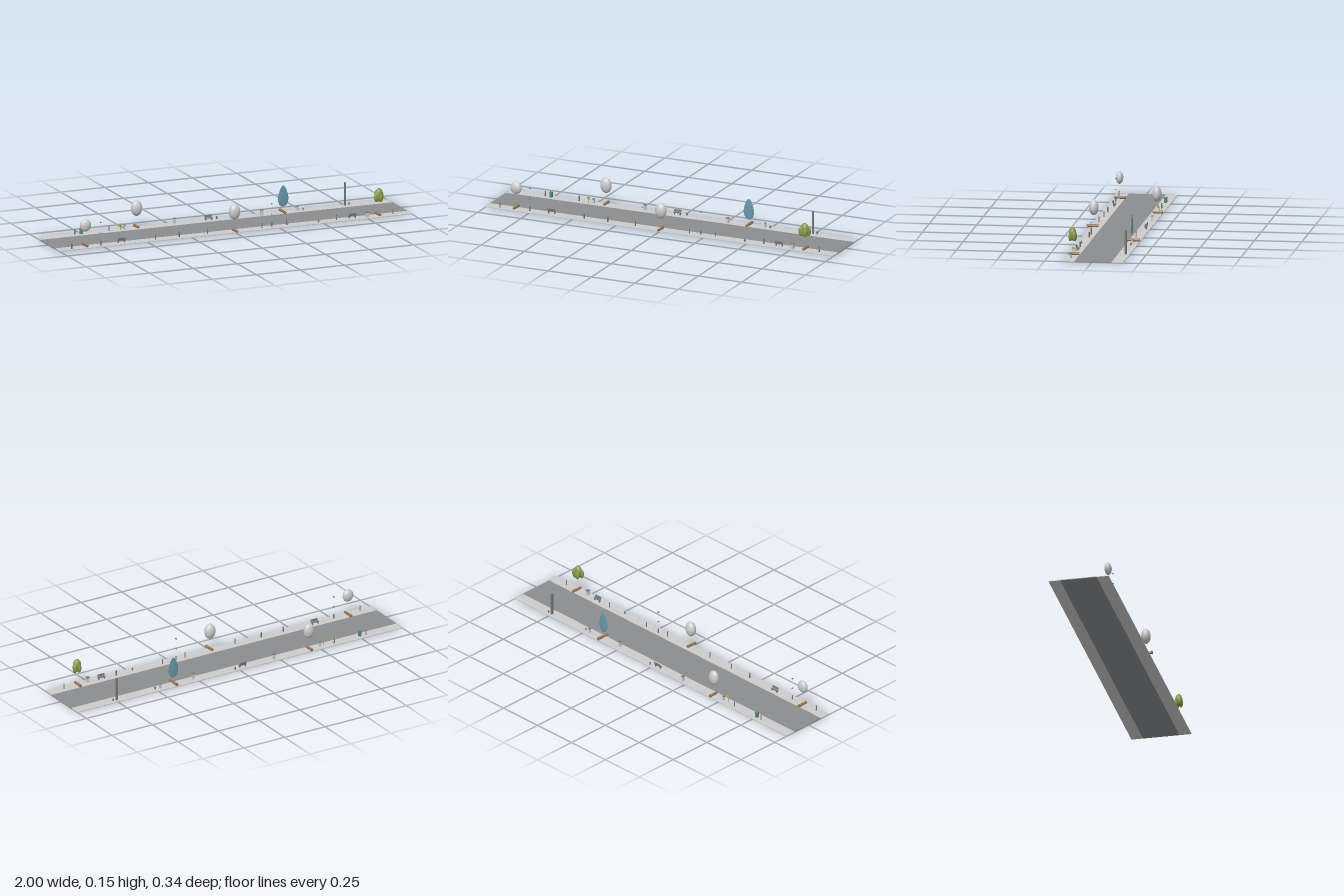
import * as THREE from 'three';

const mat = (color) => new THREE.MeshStandardMaterial({ color });
const GREY = mat(0xcccccc), ROAD = mat(0x8b8d8f), WOOD = mat(0x9a7850), GREEN = mat(0x8a9a45);
const TEAL = mat(0x6798a8), DARK = mat(0x77797c), YELLOW = mat(0xc8b040), BIN = mat(0x4f9080);

export function createModel() {
  const root = new THREE.Group();
  root.name = 'street';

  const add = (name, geo, material, x, y, z, parent = root) => {
    const m = new THREE.Mesh(geo, material);
    m.name = name;
    m.position.set(x, y, z);
    parent.add(m);
    return m;
  };
  const box = (name, w, h, d, material, x, y, z, parent) =>
    add(name, new THREE.BoxGeometry(w, h, d), material, x, y, z, parent);
  const group = (name, x, z) => {
    const g = new THREE.Group();
    g.name = name;
    g.position.set(x, 0, z);
    root.add(g);
    return g;
  };

  // Flat road between two sidewalks
  box('road', 2, 0.004, 0.195, ROAD, 0, 0.002, -0.0065);
  box('frontSidewalk', 2, 0.004, 0.064, GREY, 0, 0.002, 0.123);
  box('backSidewalk', 2, 0.004, 0.062, GREY, 0, 0.002, -0.135);

  // Trunks lying across the sidewalk: x, nearest z, farthest z
  for (const [x, z0, z1] of [
    [-0.84, 0.085, 0.145], [0, 0.11, 0.17], [0.823, 0.09, 0.147],
    [-0.44, -0.168, -0.115], [0.387, -0.165, -0.093],
  ]) {
    const trunk = add('trunk', new THREE.CylinderGeometry(0.0065, 0.008, z1 - z0, 12), WOOD, x, 0.012, (z0 + z1) / 2);
    trunk.rotation.x = Math.PI / 2;
  }

  // Egg-shaped crowns floating above the trunks
  const ball = new THREE.SphereGeometry(1, 24, 16);
  const crown = (material, x, y, z, rx, ry, rz) =>
    add('crown', ball, material, x, y, z).scale.set(rx, ry, rz);
  crown(GREY, -0.84, 0.118, 0.117, 0.031, 0.034, 0.019);
  crown(GREY, 0, 0.11, 0.133, 0.031, 0.042, 0.025);
  crown(GREY, -0.44, 0.111, -0.137, 0.031, 0.042, 0.023);

  // Green crown made of overlapping lobes
  crown(GREEN, 0.823, 0.117, 0.126, 0.023, 0.035, 0.019);
  for (const s of [-1, 1]) {
    crown(GREEN, 0.823 + s * 0.016, 0.106, 0.126 - s * 0.01, 0.015, 0.026, 0.01);
    crown(GREEN, 0.823 + s * 0.006, 0.103, 0.126 + s * 0.011, 0.013, 0.025, 0.011);
  }

  // Flattened teardrop tree
  const drop = [[0, 0.038], [0.013, 0.042], [0.025, 0.056], [0.031, 0.08], [0.027, 0.105],
    [0.018, 0.13], [0.01, 0.146], [0, 0.152]].map(([r, y]) => new THREE.Vector2(r, y));
  add('teardropCrown', new THREE.LatheGeometry(drop, 20), TEAL, 0.387, 0, -0.124).scale.z = 0.11;

  // Tall pole
  box('pole', 0.008, 0.124, 0.011, DARK, 0.747, 0.065, -0.143);

  // Bollards with caps
  const postGeo = new THREE.CylinderGeometry(0.0028, 0.0032, 0.026, 10);
  const capGeo = new THREE.SphereGeometry(0.0035, 10, 6);
  for (const [x, z] of [
    [-0.925, 0.133], [-0.445, 0.123], [-0.31, 0.123], [-0.15, 0.126], [0.16, 0.123],
    [0.305, 0.113], [0.585, 0.12], [0.905, 0.123],
    [-0.79, -0.14], [-0.595, -0.14],
  ]) {
    const g = group('bollard', x, z);
    add('post', postGeo, DARK, 0, 0.017, 0, g);
    add('cap', capGeo, DARK, 0, 0.03, 0, g);
  }

  // Benches: seat, backrest and two legs; s turns the back away from the road
  for (const [x, z, s] of [[-0.635, 0.115, 1], [0.675, 0.12, 1], [-0.03, -0.138, -1]]) {
    const g = group('bench', x, z);
    box('seat', 0.042, 0.003, 0.013, DARK, 0, 0.016, 0, g);
    const back = box('backrest', 0.042, 0.012, 0.002, DARK, 0, 0.025, s * 0.007, g);
    back.rotation.x = s * 0.15;
    for (const side of [-1, 1]) box('leg', 0.003, 0.013, 0.011, DARK, side * 0.017, 0.01, 0, g);
  }

  // Cabinets with an overhanging lid
  for (const [x, z, w, h, m] of [
    [-0.755, -0.136, 0.014, 0.026, BIN], [-0.22, -0.145, 0.012, 0.026, GREY],
    [0.265, -0.125, 0.014, 0.026, GREY], [0.755, 0.13, 0.015, 0.024, GREY],
    [-0.51, -0.135, 0.01, 0.022, GREY], [0.475, -0.138, 0.009, 0.022, GREY],
  ]) {
    const g = group('cabinet', x, z);
    box('body', w, h, w, m, 0, 0.004 + h / 2, 0, g);
    box('lid', w + 0.002, 0.003, w + 0.002, DARK, 0, 0.0055 + h, 0, g);
  }

  // Small hydrants: barrel, dome and side nozzles
  for (const [x, z, m] of [[0.505, -0.135, WOOD], [0.02, -0.147, DARK], [0.77, -0.145, DARK], [0.48, 0.128, DARK]]) {
    const g = group('hydrant', x, z);
    add('barrel', new THREE.CylinderGeometry(0.003, 0.0035, 0.012, 10), m, 0, 0.01, 0, g);
    add('dome', new THREE.SphereGeometry(0.0035, 10, 6), m, 0, 0.016, 0, g);
    box('nozzles', 0.011, 0.003, 0.003, m, 0, 0.012, 0, g);
  }

  // Yellow sign on a short post
  const sign = group('sign', -0.537, -0.128);
  box('post', 0.002, 0.024, 0.002, DARK, 0, 0.016, 0, sign);
  box('panel', 0.016, 0.014, 0.004, YELLOW, 0, 0.031, 0, sign);

  // Street lamp fittings: base, collar and lamp head
  for (const [x, z] of [[-0.757, 0.125], [0.22, 0.115]]) {
    const g = group('streetLamp', x, z);
    add('base', new THREE.CylinderGeometry(0.003, 0.004, 0.024, 10), DARK, 0, 0.016, 0, g);
    box('collar', 0.004, 0.003, 0.012, DARK, 0, 0.07, 0, g);
    box('head', 0.006, 0.005, 0.008, DARK, 0, 0.127, 0, g);
  }

  return root;
}
